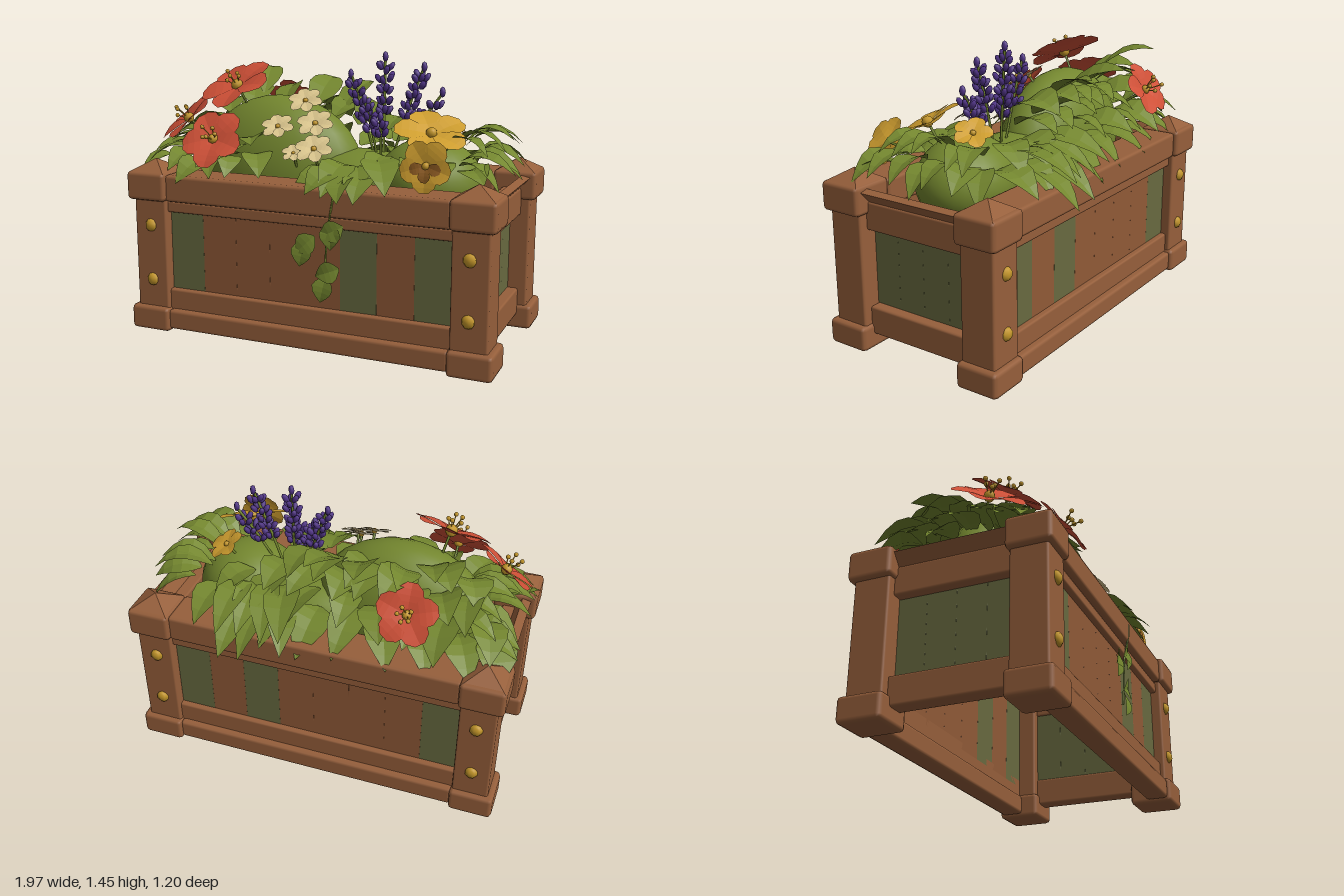
import * as THREE from 'three';
import { mergeGeometries } from 'three/addons/utils/BufferGeometryUtils.js';
import { RoundedBoxGeometry } from 'three/addons/geometries/RoundedBoxGeometry.js';

const mat = (name, color, side = THREE.FrontSide) =>
  Object.assign(new THREE.MeshStandardMaterial({ color, side }), { name });
const V = (x, y, z) => new THREE.Vector3(x, y, z);
const P = Math.PI;

// Half-width along a blade: pointed for leaves, blunt for petals
const leafWidth = t => Math.sin(P * Math.min(1, 0.04 + 0.96 * t ** 0.85));
const petalWidth = t => Math.sin(P * (0.05 + 0.83 * t ** 1.4));

// Arched blade along +z, facing up, folded along its midrib
function blade(length, width, rise, droop, widthAt, fold = 0.2) {
  const pos = [], n = 5;
  const at = (i, c) => {
    const t = i / n, h = widthAt(t) * width / 2;
    return [c * h, rise * t - droop * t * t + Math.abs(c) * h * fold, length * t];
  };
  for (let i = 0; i < n; i++) for (const c of [-1, 0]) {
    const a = at(i, c), b = at(i + 1, c), d = at(i, c + 1), e = at(i + 1, c + 1);
    pos.push(...a, ...b, ...d, ...d, ...b, ...e);
  }
  const g = new THREE.BufferGeometry();
  g.setAttribute('position', new THREE.Float32BufferAttribute(pos, 3));
  g.computeVertexNormals();
  return g;
}

export function createModel() {
  const model = new THREE.Group();
  const wood = mat('wood', 0x965f3b), board = mat('board brown', 0x905a37);
  const olive = mat('board olive', 0x686a40), gold = mat('gold', 0xc3962a);
  const green = mat('leaf green', 0x74872f, THREE.DoubleSide);
  const red = mat('red petal', 0xcf5037, THREE.DoubleSide);
  const yellow = mat('yellow petal', 0xcf9e2f, THREE.DoubleSide);
  const cream = mat('cream petal', 0xd9c48c, THREE.DoubleSide);
  const purple = mat('lavender', 0x513587), mark = mat('petal marking', 0x8f5c22, THREE.DoubleSide);

  let seed = 7;
  const rnd = () => (seed = (seed * 16807) % 2147483647) / 2147483647;
  const jit = s => (rnd() - 0.5) * 2 * s;

  const add = (name, geo, m, x = 0, y = 0, z = 0, parent = model) => {
    const mesh = new THREE.Mesh(geo, m);
    mesh.name = name;
    mesh.position.set(x, y, z);
    parent.add(mesh);
    return mesh;
  };
  // Chamfered block given by its limits
  const block = (name, m, x0, x1, y0, y1, z0, z1, r = 0.012) =>
    add(name, new RoundedBoxGeometry(x1 - x0, y1 - y0, z1 - z0, 1, r), m,
      (x0 + x1) / 2, (y0 + y1) / 2, (z0 + z1) / 2);
  const tube = (name, points, r, m = green, parent = model) =>
    add(name, new THREE.TubeGeometry(new THREE.CatmullRomCurve3(points), 8, r, 5), m, 0, 0, 0, parent);
  const span = (s, a, b) => s > 0 ? [a, b] : [-b, -a];

  // Corner posts with feet, caps and bolts
  for (const sx of [-1, 1]) for (const sz of [-1, 1]) {
    const corner = (name, x0, x1, y0, y1, z0, z1, r) =>
      block(name, wood, ...span(sx, x0, x1), y0, y1, ...span(sz, z0, z1), r);
    corner('post', 0.76, 0.945, 0.1, 0.73, 0.295, 0.48);
    corner('foot', 0.75, 0.975, 0.005, 0.135, 0.28, 0.507, 0.022);
    corner('postCap', 0.75, 0.975, 0.7, 0.85, 0.28, 0.507, 0.022);
    const peak = new THREE.ConeGeometry(0.148, 0.065, 4, 1, true).rotateY(P / 4).toNonIndexed();
    peak.computeVertexNormals();
    add('capPeak', peak, wood, sx * 0.862, 0.875, sz * 0.392);
    for (const y of [0.28, 0.57])
      add('bolt', new THREE.SphereGeometry(0.034, 7, 5), gold, sx * 0.85, y, sz * 0.48).scale.z = 0.7;
  }

  for (const s of [-1, 1]) {
    // Long sides: rails and eight boards each
    const side = (name, m, x0, x1, y0, y1, a, b, r) => block(name, m, x0, x1, y0, y1, ...span(s, a, b), r);
    side('topRail', wood, -0.76, 0.76, 0.7, 0.84, 0.275, 0.485, 0.018);
    side('upperTrim', wood, -0.77, 0.77, 0.64, 0.7, 0.39, 0.455);
    side('lowerTrim', wood, -0.77, 0.77, 0.11, 0.23, 0.39, 0.455);
    side('baseRail', wood, -0.76, 0.76, 0.02, 0.125, 0.37, 0.49, 0.018);
    for (let i = 0; i < 8; i++) {
      const x = -0.76 + i * 0.19;
      side('sideBoard', [0, 5, 7].includes(i) ? olive : board, x, x + 0.19, 0.18, 0.68, 0.39, 0.425, 0.0005);
    }
    // Ends: rails, olive boards and an overhanging lip
    const end = (name, m, a, b, ...rest) => block(name, m, ...span(s, a, b), ...rest);
    end('endUpperRail', wood, 0.8, 0.9, 0.62, 0.765, -0.3, 0.3);
    end('endLowerRail', wood, 0.8, 0.9, 0.08, 0.225, -0.3, 0.3);
    for (let i = 0; i < 4; i++)
      end('endBoard', olive, 0.81, 0.845, 0.18, 0.66, -0.3 + i * 0.15, -0.15 + i * 0.15, 0.0005);
    const lip = new THREE.Shape([[0.86, 0.755], [0.885, 0.755], [0.945, 0.82], [0.9, 0.83]]
      .map(p => new THREE.Vector2(...p)));
    const lipGeo = new THREE.ExtrudeGeometry(lip, { depth: 0.58, bevelEnabled: false }).translate(0, 0, -0.29);
    add('endLip', s < 0 ? lipGeo.rotateY(P) : lipGeo, wood);
  }

  // Foliage mounds
  for (const [x, rx, ry] of [[-0.33, 0.46, 0.4], [0.5, 0.27, 0.22], [0.12, 0.35, 0.14]])
    add('mound', new THREE.SphereGeometry(1, 28, 16), green, x, 0.82, 0).scale.set(rx, ry, 0.245);

  // Row of leaves from a to b, fanned by spread around a heading (0 is the front)
  const leaves = [];
  function row(n, a, b, heading, spread, L, w, rise, droop, loose = 1) {
    for (let i = 0; i < n; i++) {
      const t = i / (n - 1), p = a.clone().lerp(b, t);
      leaves.push(blade(L * (1 + jit(0.1)), w * (1 + jit(0.12)), rise + jit(0.04), droop, leafWidth)
        .rotateZ(jit(0.3 * loose))
        .rotateY(heading + spread * (2 * t - 1) + jit(0.3 * loose))
        .translate(p.x + jit(0.02), p.y + jit(0.03), p.z + jit(0.02)));
    }
  }
  // Back: four tiers, a tall tuft and a spilling clump
  for (let k = 0; k < 4; k++) {
    const y = 0.91 + 0.075 * k, z = -0.21 + 0.055 * k;
    row(9 - k, V(-0.83 + 0.06 * k, y, z), V(0.55 - 0.15 * k, y, z), P, -0.3, 0.27, 0.19, 0.12 + 0.04 * k, 0.22);
  }
  row(4, V(-0.5, 1.18, -0.12), V(-0.05, 1.12, -0.12), P, -0.3, 0.32, 0.17, 0.31, 0.17);
  row(4, V(0.2, 0.96, -0.22), V(0.43, 0.96, -0.22), P, -0.2, 0.36, 0.17, 0.16, 0.27, 0.6);
  row(3, V(0.2, 0.92, -0.28), V(0.4, 0.92, -0.28), P, -0.2, 0.29, 0.16, 0.08, 0.2, 0.6);
  // Ends: a drooping tier and a raised tier each
  for (const s of [-1, 1]) {
    row(7, V(s * 0.715, 0.95, -0.25), V(s * 0.715, 0.95, 0.25), s * P / 2, -s * 0.3, 0.25, 0.15, 0.13, 0.21, 0.6);
    row(5, V(s * 0.63, 1.0, -0.2), V(s * 0.63, 1.0, 0.12), s * P / 2, -s * 0.35, 0.28, 0.13, 0.31, 0.3, 0.6);
  }
  // Front: tufts under the flowers and over the rail
  row(5, V(-0.86, 0.9, 0.22), V(-0.36, 0.91, 0.2), 0, 0.35, 0.23, 0.16, 0.12, 0.18);
  row(3, V(-0.62, 0.89, 0.33), V(-0.5, 0.9, 0.31), 0, 0.35, 0.17, 0.14, 0.08, 0.16);
  row(4, V(-0.72, 0.95, 0.14), V(-0.4, 0.96, 0.16), 0, 0.4, 0.26, 0.16, 0.14, 0.15);
  row(4, V(0.09, 0.91, 0.26), V(0.29, 0.93, 0.24), 0, 0.28, 0.28, 0.19, 0.1, 0.2);
  row(3, V(0.14, 0.88, 0.37), V(0.26, 0.88, 0.37), 0, 0.2, 0.2, 0.16, 0.06, 0.16);
  row(4, V(0.32, 0.93, 0.15), V(0.74, 0.92, 0.2), 0.25, 0.45, 0.22, 0.15, 0.1, 0.14);
  // Trailing vine
  tube('vine', [V(0.18, 0.86, 0.45), V(0.18, 0.8, 0.485), V(0.14, 0.6, 0.465), V(0.12, 0.34, 0.455)], 0.005);
  for (const [x, y, a] of [[0.07, 0.6, -0.8], [0.02, 0.57, -0.2], [0.22, 0.66, -1.1],
    [0.16, 0.67, 0], [0.2, 0.45, -1.2], [0.13, 0.4, -0.2]])
    leaves.push(blade(0.13, 0.11, 0.03, 0.03, leafWidth).rotateX(P / 2 - 0.1).rotateZ(a).translate(x, y, 0.46));
  add('leaves', mergeGeometries(leaves), green);

  // Flowers: petals around +y, then turned to face a direction
  function flower(name, m, p, normal, R, petals, width, { stamens = 0, marked = false } = {}) {
    const g = new THREE.Group();
    g.name = name;
    const ring = (n, L, w, lift) => mergeGeometries(Array.from({ length: n }, (_, i) =>
      blade(L, w, lift, lift * 0.7, petalWidth, 0.12).rotateY((i - (n - 1) / 2) * 2 * P / petals)
        .translate(0, (i % 2) * 0.004, 0)));
    add('petals', ring(petals, R, width, R * 0.3), m, 0, 0, 0, g);
    if (marked) add('markings', ring(3, R * 0.62, width * 0.5, R * 0.26), mark, 0, 0.009, 0, g);
    add('flowerCentre', new THREE.SphereGeometry(R * 0.16, 8, 6), gold, 0, R * 0.08, 0, g);
    for (let i = 0; i < stamens; i++) {
      const a = i * 2 * P / stamens, tip = V(Math.cos(a) * 0.035, 0.065 + (i % 2) * 0.03, Math.sin(a) * 0.035);
      tube('stamen', [V(0, 0, 0), tip.clone().multiplyScalar(0.6), tip], 0.003, gold, g);
      add('anther', new THREE.SphereGeometry(0.012, 6, 4), gold, ...tip.toArray(), g);
    }
    tube('flowerStem', [V(0, -0.005, 0), V(0, -0.06, 0), V(0, -0.12, 0)], 0.007, green, g);
    g.position.copy(p);
    g.quaternion.setFromUnitVectors(V(0, 1, 0), normal.normalize());
    model.add(g);
  }
  const big = { stamens: 5 };
  flower('redFlower', red, V(-0.53, 1.26, 0.1), V(-0.2, 0.85, 0.5), 0.2, 5, 0.18, big);
  flower('redFlower', red, V(-0.81, 1.08, 0.13), V(-0.5, 0.7, 0.4), 0.18, 5, 0.16, big);
  flower('redFlower', red, V(-0.52, 1.02, 0.38), V(0, 0.6, 0.8), 0.165, 5, 0.15, big);
  flower('redFlower', red, V(-0.47, 1.13, -0.43), V(0, 0.57, -0.82), 0.15, 5, 0.135, big);
  flower('yellowFlower', yellow, V(0.61, 0.97, 0.4), V(0, 0.2, 1), 0.125, 5, 0.12, { marked: true });
  flower('yellowFlower', yellow, V(0.56, 1.08, 0.18), V(0.2, 0.85, 0.4), 0.18, 5, 0.16);
  flower('yellowFlower', yellow, V(0.58, 1.08, -0.1), V(0.4, 0.8, -0.3), 0.095, 5, 0.085);
  for (const [x, y, z, r] of [[-0.15, 1.2, 0.08, 0.09], [-0.05, 1.1, 0.18, 0.095], [0.02, 1.0, 0.35, 0.095],
    [-0.24, 1.08, 0.22, 0.085], [-0.13, 0.96, 0.27, 0.06]])
    flower('creamFlower', cream, V(x, y, z), V(0.1, 0.8, 0.6), r, 6, r * 0.72);

  // Lavender spikes: stem with whorls of buds
  for (const [x, y, z] of [[0.06, 1.35, -0.02], [0.24, 1.43, -0.04], [0.45, 1.39, -0.03],
    [0.55, 1.26, -0.02], [0.28, 1.16, 0.13], [0.15, 1.22, 0.02]]) {
    const base = V(0.2 + x * 0.18, 0.88, z * 0.3), tip = V(x, y, z);
    const mid = base.clone().lerp(tip, 0.5).add(V(0, 0.02, 0));
    const curve = new THREE.CatmullRomCurve3([base, mid, tip]);
    tube('lavenderStem', [base, mid, tip], 0.007);
    const buds = [], whorls = Math.round((y - 0.9) * 12);
    for (let i = 0; i < whorls; i++) {
      const c = curve.getPoint(1 - i * 0.62 / whorls), n = i ? 5 : 1;
      for (let k = 0; k < n; k++)
        buds.push(new THREE.SphereGeometry(0.016, 6, 4).scale(1, 1.7, 1).rotateX(i ? 0.6 : 0)
          .translate(0, jit(0.012), i ? 0.03 + jit(0.008) : 0).rotateY(k * 2 * P / n + i * 0.6)
          .translate(c.x, c.y, c.z));
    }
    add('lavenderBuds', mergeGeometries(buds), purple);
  }
  return model;
}
